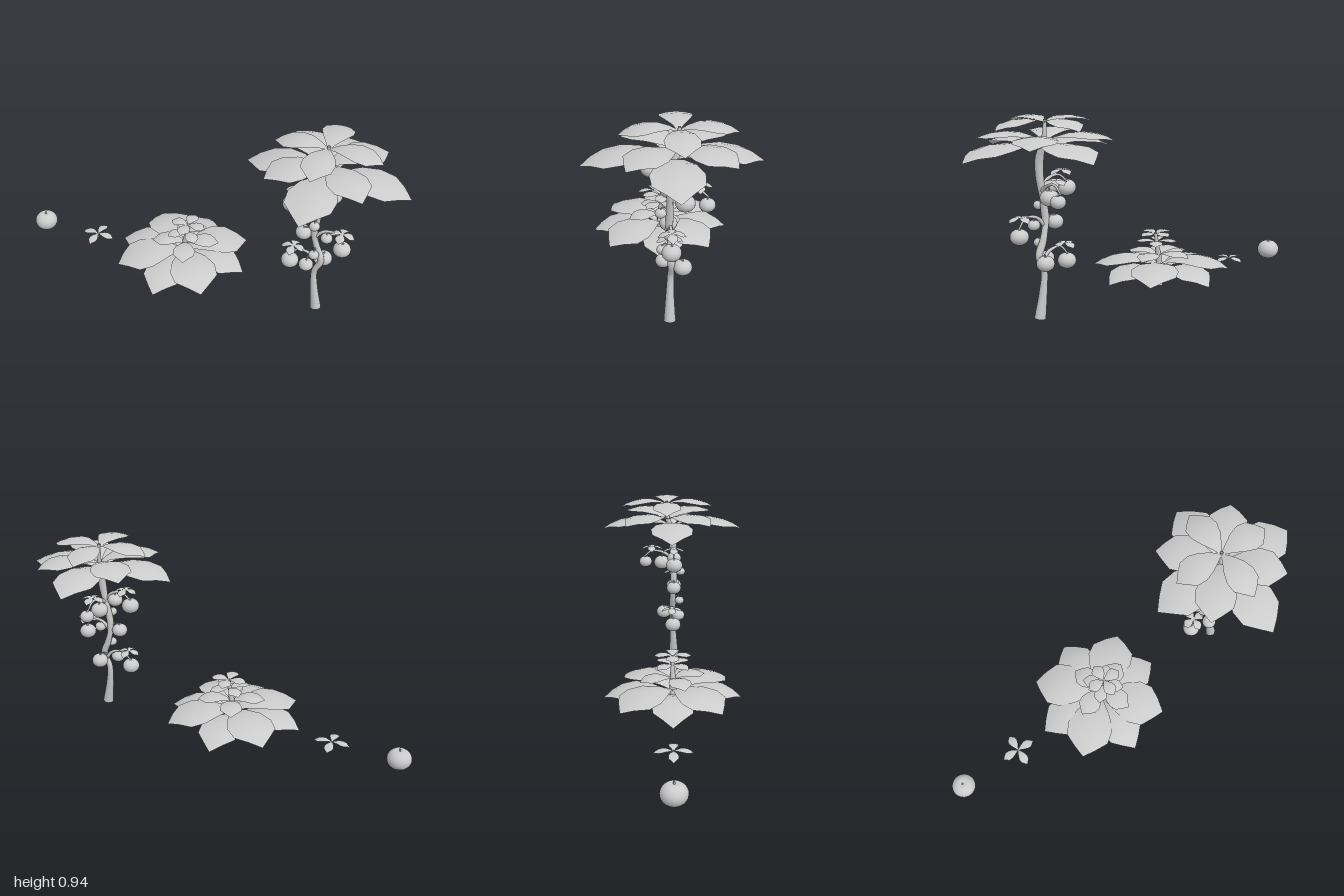
import * as THREE from 'three';

const stemMat = new THREE.MeshStandardMaterial({ color: 0xcccccc });
const leafMat = new THREE.MeshStandardMaterial({ color: 0xcccccc, side: THREE.DoubleSide });

function add(parent, name, geometry, material, x = 0, y = 0, z = 0) {
  const mesh = new THREE.Mesh(geometry, material);
  mesh.name = name;
  mesh.position.set(x, y, z);
  parent.add(mesh);
  return mesh;
}

// Arched leaf along +x: [fraction of length, fraction of half width]
const outline = [[0, 0.06], [0.15, 0.36], [0.35, 0.76], [0.55, 1], [0.74, 0.94], [0.88, 0.48], [1, 0]];

function leafGeometry(length, half, arch, tip) {
  const pos = [], index = [];
  outline.forEach(([t, w], i) => {
    const y = 2 * t * (1 - t) * arch + t * t * tip;
    for (let j = -2; j <= 2; j++) {
      const s = (j / 2) * w;
      pos.push(t * length, y - s * s * half * 0.16, s * half);
    }
    if (i === 0) return;
    for (let j = 0; j < 4; j++) {
      const a = (i - 1) * 5 + j, b = a + 5;
      index.push(a, a + 1, b, b, a + 1, b + 1);
    }
  });
  const g = new THREE.BufferGeometry();
  g.setAttribute('position', new THREE.Float32BufferAttribute(pos, 3));
  g.setIndex(index);
  g.computeVertexNormals();
  return g;
}

// Ring of leaves around a point, angles in degrees
function whorl(parent, name, [x, y, z], angles, length, half, arch, tip) {
  const group = new THREE.Group();
  group.name = name;
  group.position.set(x, y, z);
  const g = leafGeometry(length, half, arch, tip);
  for (const a of angles) add(group, 'leaf', g, leafMat).rotation.y = THREE.MathUtils.degToRad(a);
  parent.add(group);
}

// Tube whose radius follows a list of values
function stem(parent, name, points, radii, segments = 32, sides = 10) {
  const curve = new THREE.CatmullRomCurve3(points.map((p) => new THREE.Vector3(...p)));
  const g = new THREE.TubeGeometry(curve, segments, 1, sides);
  const p = g.attributes.position, v = new THREE.Vector3();
  for (let i = 0; i <= segments; i++) {
    const f = (i / segments) * (radii.length - 1), k = Math.min(Math.floor(f), radii.length - 2);
    const r = THREE.MathUtils.lerp(radii[k], radii[k + 1], f - k);
    const c = curve.getPointAt(i / segments);
    for (let j = 0; j <= sides; j++) {
      const n = i * (sides + 1) + j;
      v.fromBufferAttribute(p, n).sub(c).multiplyScalar(r).add(c);
      p.setXYZ(n, v.x, v.y, v.z);
    }
  }
  add(parent, name, g, leafMat);
}

// Round squashed fruit with a dimple on top, unit radius
function fruitGeometry() {
  const pts = [];
  for (let i = 0; i <= 16; i++) {
    const a = -Math.PI / 2 + (i / 16) * Math.PI;
    const r = i === 0 || i === 16 ? 0 : Math.cos(a);
    pts.push(new THREE.Vector2(r, Math.sin(a) * 0.86 - (a > 0 ? 0.14 * Math.exp(-r * r * 14) : 0)));
  }
  return new THREE.LatheGeometry(pts, 24);
}
const fruitGeo = fruitGeometry();

function fruit(parent, [x, y, z], r) {
  add(parent, 'fruit', fruitGeo, stemMat, x, y, z).scale.setScalar(r);
  add(parent, 'fruitStalk', new THREE.CylinderGeometry(r * 0.06, r * 0.09, r * 0.3, 6), stemMat, x, y + r * 0.8, z);
}

const CROSS = [0, 90, 180, 270];
const DIAGONAL = [45, 135, 225, 315];

function looseFruit() {
  const g = new THREE.Group();
  g.name = 'looseFruit';
  fruit(g, [-0.94, 0.052, 0], 0.06);
  return g;
}

function seedling() {
  const g = new THREE.Group();
  g.name = 'seedling';
  stem(g, 'seedlingStem', [[-0.61, 0.04, 0], [-0.61, 0.055, 0], [-0.61, 0.068, 0]], [0.004, 0.003], 4, 6);
  whorl(g, 'seedlingLeaves', [-0.61, 0.063, 0], CROSS, 0.09, 0.023, 0.022, -0.008);
  return g;
}

function youngPlant() {
  const g = new THREE.Group();
  g.name = 'youngPlant';
  stem(g, 'youngStem', [[-0.1, 0.02, 0], [-0.1, 0.1, 0], [-0.085, 0.2, 0], [-0.068, 0.3, 0]], [0.012, 0.013, 0.016, 0.011, 0.008], 20);
  whorl(g, 'lowerLeaves', [-0.105, 0.1, 0], CROSS, 0.34, 0.1, 0.115, -0.01);
  whorl(g, 'middleLeaves', [-0.1, 0.13, 0], [40, 134, 222, 310], 0.345, 0.115, 0.095, -0.015);
  whorl(g, 'upperLeaves', [-0.085, 0.18, 0], [20, 110, 200, 290], 0.17, 0.055, 0.055, 0.005);
  whorl(g, 'smallLeaves', [-0.075, 0.25, 0], [45, 135, 225, 315], 0.105, 0.033, 0.03, 0.002);
  whorl(g, 'topLeaves', [-0.07, 0.295, 0], CROSS, 0.092, 0.032, 0.026, 0);
  return g;
}

function fruitingPlant() {
  const g = new THREE.Group();
  g.name = 'fruitingPlant';
  stem(g, 'mainStem', [
    [0.627, 0.02, 0.01], [0.607, 0.15, 0.008], [0.602, 0.24, 0.005], [0.628, 0.31, 0.005], [0.603, 0.38, 0.005],
    [0.585, 0.46, 0.01], [0.592, 0.55, 0.01], [0.608, 0.64, 0.008], [0.615, 0.75, 0], [0.606, 0.84, -0.025], [0.6, 0.925, -0.028],
  ], [0.027, 0.021, 0.016, 0.014, 0.018, 0.014, 0.018, 0.014, 0.019, 0.02, 0.011, 0.007], 60, 12);

  // Crown of three leaf tiers
  whorl(g, 'crownLowerLeaves', [0.613, 0.79, 0], CROSS, 0.38, 0.11, 0.1, -0.018);
  whorl(g, 'crownMiddleLeaves', [0.605, 0.825, -0.02], DIAGONAL, 0.31, 0.095, 0.09, 0.008);
  whorl(g, 'crownUpperLeaves', [0.6, 0.91, -0.026], CROSS, 0.25, 0.073, 0.06, -0.015);

  // Fruit trusses: arched stalk, leaf tuft and hanging fruits
  const trusses = [
    { path: [[0.605, 0.6, 0.01], [0.57, 0.655, 0.01], [0.51, 0.668, 0.01], [0.465, 0.635, 0.01]],
      tuft: [0.49, 0.685, 0.01], fruits: [[0.465, 0.604, 0.012, 0.044], [0.55, 0.622, 0.012, 0.038]] },
    { path: [[0.605, 0.61, 0], [0.608, 0.642, -0.05], [0.612, 0.648, -0.11], [0.615, 0.615, -0.152]],
      tuft: [0.61, 0.67, -0.11], fruits: [[0.605, 0.585, -0.055, 0.043], [0.625, 0.584, -0.145, 0.035]] },
    { path: [[0.585, 0.44, 0.01], [0.63, 0.49, 0.01], [0.69, 0.495, 0.01], [0.725, 0.45, 0.01]],
      tuft: [0.715, 0.5, 0.01], fruits: [[0.645, 0.457, 0.012, 0.028], [0.722, 0.417, 0.012, 0.042], [0.533, 0.457, 0.01, 0.039]] },
    { path: [[0.62, 0.28, 0], [0.575, 0.33, 0], [0.515, 0.34, 0], [0.475, 0.3, 0]],
      tuft: [0.485, 0.35, 0], fruits: [[0.475, 0.265, 0.005, 0.043], [0.565, 0.29, 0.035, 0.035], [0.628, 0.29, -0.045, 0.041]] },
  ];
  for (const { path, tuft, fruits } of trusses) {
    const truss = new THREE.Group();
    truss.name = 'fruitTruss';
    stem(truss, 'trussStalk', path, [0.01, 0.008, 0.006, 0.004], 16, 8);
    whorl(truss, 'trussLeaves', tuft, CROSS, 0.06, 0.022, 0.018, -0.015);
    const curve = new THREE.CatmullRomCurve3(path.map((p) => new THREE.Vector3(...p)));
    for (const [x, y, z, r] of fruits) {
      fruit(truss, [x, y, z], r);
      // short stalk from the nearest point of the truss
      const top = new THREE.Vector3(x, y + r * 0.8, z);
      const near = curve.getPoints(24).reduce((a, b) => (b.distanceTo(top) < a.distanceTo(top) ? b : a));
      const mid = near.clone().lerp(top, 0.5);
      mid.y = Math.max(near.y, top.y) + 0.004;
      stem(truss, 'hangingStalk', [near.toArray(), mid.toArray(), top.toArray()], [0.004, 0.003], 6, 6);
    }
    g.add(truss);
  }

  // Small fruits close to the stem
  for (const [x, y, z] of [[0.592, 0.535, 0.048], [0.6, 0.365, 0.042]]) {
    fruit(g, [x, y, z], 0.025);
    stem(g, 'hangingStalk', [[x, y + 0.005, 0.01], [x, y + 0.03, z * 0.7], [x, y + 0.02, z]], [0.004, 0.003], 6, 6);
  }
  return g;
}

export function createModel() {
  const model = new THREE.Group();
  model.name = 'plantGrowthStages';
  model.add(looseFruit(), seedling(), youngPlant(), fruitingPlant());
  return model;
}
